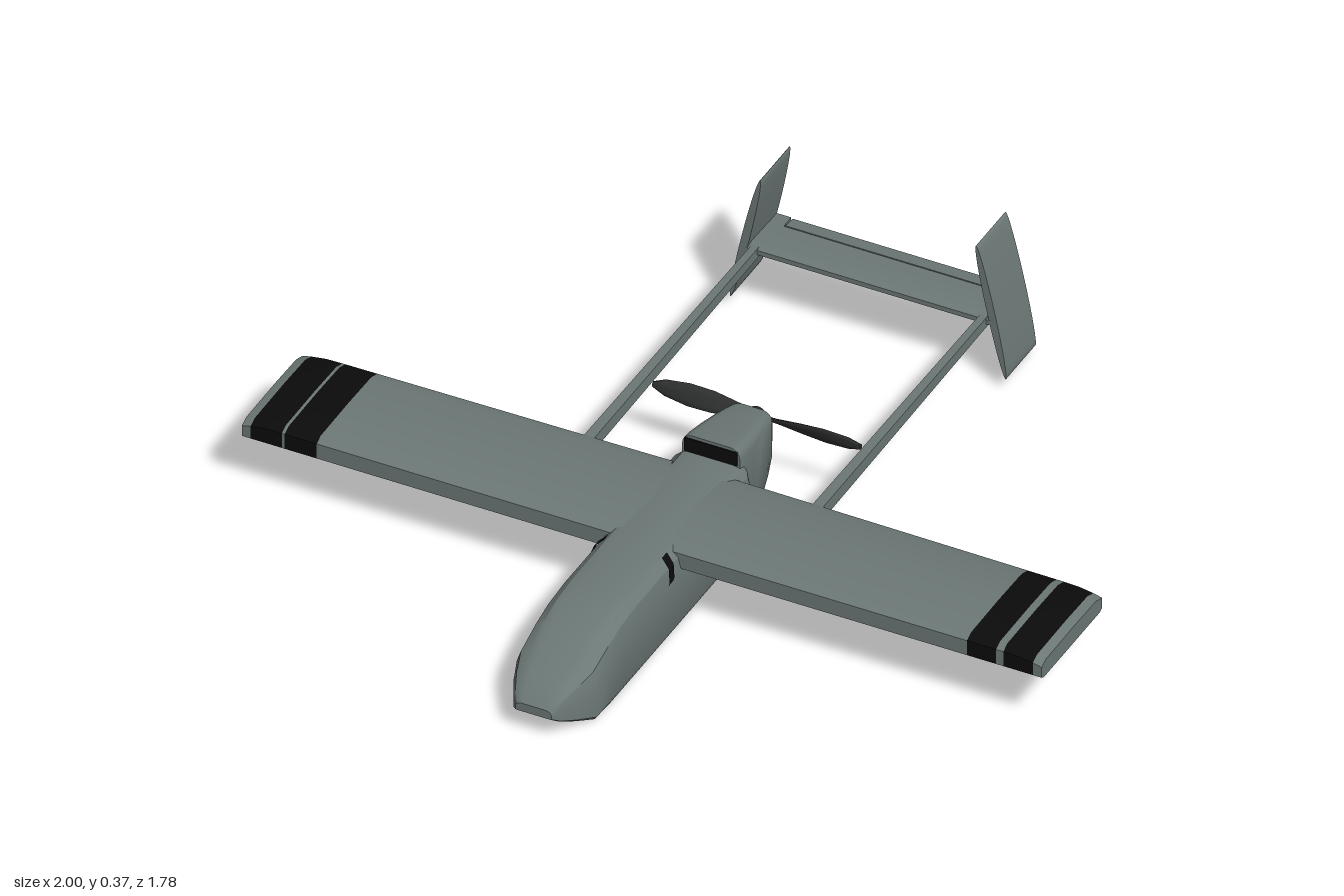
import * as THREE from 'three';
import { toCreasedNormals } from 'three/addons/utils/BufferGeometryUtils.js';

const grey = new THREE.MeshStandardMaterial({ color: 0x6c7876 });
grey.name = 'airframe grey';
const black = new THREE.MeshStandardMaterial({ color: 0x0b0b0b, side: THREE.DoubleSide });
black.name = 'marking black';
const dark = new THREE.MeshStandardMaterial({ color: 0x2f3130 });
dark.name = 'propeller charcoal';

// Skin a list of closed rings ([x, y, z] points), cap both ends, face outwards
function loft(rings, crease = 0.5) {
  const n = rings[0].length, tris = [];
  const mean = r => [0, 1, 2].map(k => r.reduce((s, p) => s + p[k], 0) / n);
  for (let i = 0; i < rings.length - 1; i++) {
    for (let j = 0; j < n; j++) {
      const k = (j + 1) % n, a = rings[i], b = rings[i + 1];
      tris.push([a[j], a[k], b[k]], [a[j], b[k], b[j]]);
    }
  }
  const first = rings[0], last = rings[rings.length - 1];
  for (let j = 0; j < n; j++) {
    const k = (j + 1) % n;
    tris.push([mean(first), first[k], first[j]], [mean(last), last[j], last[k]]);
  }
  let volume = 0;
  for (const [a, b, c] of tris) {
    volume += a[0] * (b[1] * c[2] - b[2] * c[1]) + a[1] * (b[2] * c[0] - b[0] * c[2]) + a[2] * (b[0] * c[1] - b[1] * c[0]);
  }
  if (volume < 0) tris.forEach(t => t.reverse());
  const geo = new THREE.BufferGeometry();
  geo.setAttribute('position', new THREE.Float32BufferAttribute(tris.flat(2), 3));
  geo.computeVertexNormals();
  return toCreasedNormals(geo, crease);
}

function add(parent, name, geo, mat, pos = [0, 0, 0]) {
  const mesh = new THREE.Mesh(geo, mat);
  mesh.name = name;
  mesh.position.set(...pos);
  parent.add(mesh);
  return mesh;
}

// Mirror a half outline across x = 0 into a closed ring
const mirrorRing = (half, z) => [
  ...half.map(([x, y]) => [x, y, z]),
  ...half.slice().reverse().map(([x, y]) => [-x, y, z]),
];

function fuselageRing([z, bottom, mid, top, wBottom, w, wTop]) {
  const h = top - mid;
  return mirrorRing([
    [wBottom, bottom], [w, bottom + (mid - bottom) * 0.08], [w, mid],
    [w + (wTop - w) * 0.3, mid + h * 0.62], [wTop, mid + h * 0.93], [wTop * 0.7, top],
  ], z);
}

function cowlRing([z, bottom, top, w]) {
  const r = 0.025, half = [];
  for (let i = 0; i <= 4; i++) {
    const a = -Math.PI / 2 + i * Math.PI / 8;
    half.push([w - r + r * Math.cos(a), bottom + r * 0.5 + r * 0.5 * Math.sin(a)]);
  }
  for (let i = 0; i <= 4; i++) {
    const a = i * Math.PI / 8;
    half.push([w - r + r * Math.cos(a), top - r + r * Math.sin(a)]);
  }
  return mirrorRing(half, z);
}

// Wing section, a blunt slab whose top drops and corners pull in near the tip
function wingRing(x) {
  const t = Math.max(0, (Math.abs(x) - 0.92) / 0.08);
  const top = 0.2 - 0.012 * t * t, back = 0.055 + 0.01 * Math.abs(x), front = 0.36;
  return [
    [back, 0.148], [back, top - 0.012], [back + 0.03, top - 0.002], [0.2, top],
    [front - 0.02, top - 0.002], [front, top - 0.012], [front, 0.148], [front - 0.01, 0.143], [back + 0.01, 0.143],
  ].map(([z, y]) => [x, y, z]);
}

export function createModel() {
  const model = new THREE.Group();
  model.name = 'twinBoomDrone';

  // Fuselage: z, bottom, shoulder, top, bottom / side / top half widths
  add(model, 'fuselage', loft([
    [0.89, 0.058, 0.07, 0.08, 0.04, 0.045, 0.035],
    [0.87, 0.044, 0.082, 0.1, 0.055, 0.06, 0.045],
    [0.83, 0.026, 0.09, 0.123, 0.075, 0.08, 0.056],
    [0.775, 0.002, 0.1, 0.147, 0.094, 0.1, 0.066],
    [0.7, 0, 0.12, 0.175, 0.096, 0.1, 0.07],
    [0.64, 0, 0.132, 0.192, 0.096, 0.1, 0.07],
    [0.56, 0, 0.138, 0.2, 0.096, 0.1, 0.07],
    [0.02, 0, 0.138, 0.2, 0.096, 0.1, 0.07],
    [0.0, 0, 0.138, 0.2, 0.08, 0.085, 0.066],
  ].map(fuselageRing)), grey);

  // Engine cowl and curved tail of the body
  add(model, 'engineCowl', loft([
    [0.022, 0.003, 0.245, 0.072],
    [0, 0.003, 0.242, 0.074],
    [-0.05, 0.008, 0.234, 0.071],
    [-0.1, 0.026, 0.225, 0.066],
    [-0.14, 0.053, 0.219, 0.06],
    [-0.168, 0.085, 0.214, 0.055],
    [-0.18, 0.125, 0.21, 0.05],
  ].map(cowlRing), 0.6), grey);
  add(model, 'airIntake', new THREE.BoxGeometry(0.132, 0.036, 0.006), black, [0, 0.219, 0.022]);

  // Wing in spans, with black bands near the tips
  const wing = new THREE.Group();
  wing.name = 'wing';
  model.add(wing);
  add(wing, 'wingPanel', loft([-0.813, 0, 0.813].map(wingRing)), grey);
  for (const s of [-1, 1]) {
    const gap = s > 0 ? [0.886, 0.904] : [0.893, 0.9];
    const spans = [
      ['innerBand', 0.813, gap[0], black], ['bandGap', gap[0], gap[1], grey],
      ['outerBand', gap[1], 0.978, black], ['wingTip', 0.978, 1, grey],
    ];
    for (const [name, a, b, mat] of spans) {
      add(wing, name, loft([a, (a + b) / 2, b].map(x => wingRing(s * x))), mat);
    }
  }

  for (const s of [-1, 1]) {
    // Slanted black mark on each shoulder
    const edge = [[0.1, 0.145, 0.405], [0.1, 0.15, 0.4], [0.092, 0.178, 0.388], [0.071, 0.197, 0.38]];
    const strip = [];
    for (let i = 0; i < 3; i++) {
      const corner = (j, dz) => [s * (edge[j][0] + 0.002), edge[j][1] + 0.001, edge[j][2] + dz];
      const a = corner(i, 0), b = corner(i, 0.024), c = corner(i + 1, 0.024), d = corner(i + 1, 0);
      strip.push(a, b, c, a, c, d);
    }
    const mark = new THREE.BufferGeometry();
    mark.setAttribute('position', new THREE.Float32BufferAttribute(strip.flat(), 3));
    mark.computeVertexNormals();
    add(model, 'shoulderMark', mark, black);

    // Tail boom, tapering backwards
    const boomRing = (z, w, h) => [[-1, -1], [1, -1], [1, 1], [-1, 1]].map(([u, v]) => [s * 0.286 + u * w, 0.171 + v * h, z]);
    add(model, 'tailBoom', loft([boomRing(0.08, 0.013, 0.017), boomRing(-0.76, 0.009, 0.013)]), grey);

    // Fin, leaning inwards at the top
    const fin = new THREE.CylinderGeometry(1, 1, 0.145, 32).rotateX(Math.PI / 2).scale(0.01, 0.176, 1);
    add(model, 'tailFin', toCreasedNormals(fin, 0.7), grey, [s * 0.307, 0.203, -0.818]).rotation.z = s * 0.214;
  }

  // Horizontal tail and elevator
  const tailRing = x => [[-0.745, 0.168], [-0.745, 0.18], [-0.765, 0.187], [-0.85, 0.183], [-0.85, 0.165], [-0.765, 0.161]].map(([z, y]) => [x, y, z]);
  add(model, 'tailplane', loft([tailRing(-0.305), tailRing(0.305)]), grey);
  const elevatorRing = x => [[-0.853, 0.165], [-0.853, 0.183], [-0.89, 0.178], [-0.89, 0.17]].map(([z, y]) => [x, y, z]);
  add(model, 'elevator', loft([elevatorRing(-0.262), elevatorRing(0.262)]), grey);
  for (const s of [-1, 1]) add(model, 'tailplaneEnd', new THREE.BoxGeometry(0.038, 0.016, 0.04), grey, [s * 0.284, 0.174, -0.868]);

  // Pusher propeller
  const propeller = new THREE.Group();
  propeller.name = 'propeller';
  propeller.position.set(0, 0.171, -0.203);
  model.add(propeller);
  const hub = new THREE.CylinderGeometry(0.034, 0.022, 0.03, 20).rotateX(Math.PI / 2);
  add(propeller, 'hub', toCreasedNormals(hub, 0.6), dark, [0, 0, 0.01]);
  const stations = [[0, 0.012, 0.9], [0.05, 0.016, 0.75], [0.11, 0.025, 0.5], [0.17, 0.027, 0.35], [0.23, 0.02, 0.25], [0.26, 0.007, 0.2]];
  for (const turn of [0, Math.PI]) {
    const rings = stations.map(([x, chord, twist]) => Array.from({ length: 12 }, (_, i) => {
      const a = i * Math.PI / 6, u = chord * Math.cos(a), v = 0.005 * Math.sin(a);
      return [x, u * Math.cos(twist) - v * Math.sin(twist), u * Math.sin(twist) + v * Math.cos(twist)];
    }));
    add(propeller, 'blade', loft(rings, 0.9), dark).rotation.z = turn;
  }

  return model;
}
